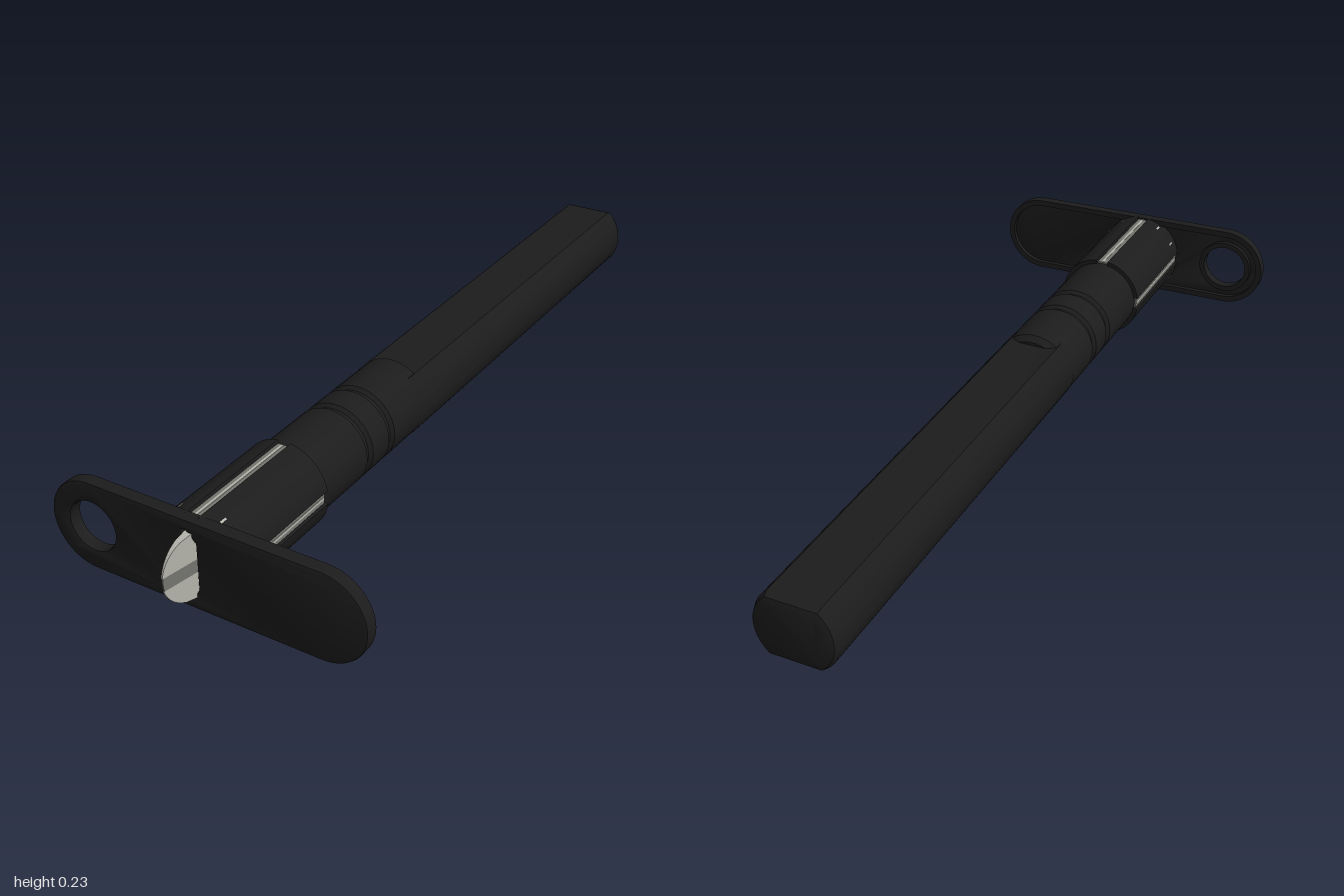
import * as THREE from 'three';
import { toCreasedNormals } from 'three/addons/utils/BufferGeometryUtils.js';

const CX = -0.031, CY = 0.118; // axis of the handle

export function createModel() {
  const model = new THREE.Group();
  model.name = 'plungerTool';
  const mat = (name, color) => {
    const m = new THREE.MeshStandardMaterial({ color });
    m.name = name;
    return m;
  };
  const black = mat('black plastic', 0x1c1c1c);
  const steel = mat('bright steel', 0xb4b4ac);
  const grey = mat('dull steel', 0x74746f);

  const add = (name, geometry, material, parent = model) => {
    const mesh = new THREE.Mesh(geometry, material);
    mesh.name = name;
    parent.add(mesh);
    return mesh;
  };
  const extrude = (shape, depth, bevel = 0) => new THREE.ExtrudeGeometry(shape, {
    depth: depth - 2 * bevel, curveSegments: 32, bevelEnabled: bevel > 0,
    bevelSize: bevel, bevelThickness: bevel, bevelOffset: -bevel, bevelSegments: 2,
  }).translate(0, 0, bevel);

  const handle = new THREE.Group();
  handle.name = 'handle';
  handle.position.set(CX, CY, 0);
  model.add(handle);

  // Rear grip: round bar with flats above and below
  const flat = Math.asin(0.077 / 0.099);
  const gripShape = new THREE.Shape();
  gripShape.absarc(0, 0, 0.099, -flat, flat, false);
  gripShape.absarc(0, 0, 0.099, Math.PI - flat, Math.PI + flat, false);
  gripShape.closePath();
  const grip = toCreasedNormals(extrude(gripShape, 1.18, 0.02), 0.5);
  add('grip', grip.translate(0, 0, -1), black, handle);

  // Round barrel with two grooves
  const profile = [
    [0, 0.12], [0.085, 0.12], [0.098, 0.135], [0.098, 0.285], [0.09, 0.293], [0.09, 0.302],
    [0.098, 0.31], [0.098, 0.378], [0.09, 0.386], [0.09, 0.395], [0.098, 0.403],
    [0.098, 0.9], [0, 0.9],
  ].map(([r, z]) => new THREE.Vector2(r, z));
  const barrel = new THREE.LatheGeometry(profile, 48).rotateX(Math.PI / 2);
  add('barrel', toCreasedNormals(barrel, 0.5), black, handle);

  // Head sleeve in four quarters, with steel showing in the slots
  const gap = 0.15;
  for (let i = 0; i < 4; i++) {
    const a = i * Math.PI / 2;
    const s = new THREE.Shape();
    s.absarc(0, 0, 0.109, a + gap, a + Math.PI / 2 - gap, false);
    s.absarc(0, 0, 0.09, a + Math.PI / 2 - gap, a + gap, true);
    s.closePath();
    const quarter = toCreasedNormals(extrude(s, 0.32), 0.5);
    add('sleeveQuarter', quarter.translate(0, 0, 0.578), black, handle);

    const strip = add('slotStrip', new THREE.BoxGeometry(0.008, 0.026, 0.316), grey, handle);
    strip.position.set(Math.cos(a) * 0.098, Math.sin(a) * 0.098, 0.741);
    strip.rotation.z = a;
    const edge = add('slotEdge', new THREE.BoxGeometry(0.006, 0.006, 0.31), steel, handle);
    edge.position.set(Math.cos(a) * 0.1, Math.sin(a) * 0.1, 0.741);
    edge.rotation.z = a;

    // Small marks near the front of the sleeve
    for (const side of [-1, 1]) {
      const b = a + side * 0.52;
      const mark = add('sleeveMark', new THREE.BoxGeometry(0.004, 0.005, 0.018), steel, handle);
      mark.position.set(Math.cos(b) * 0.108, Math.sin(b) * 0.108, 0.868);
      mark.rotation.z = b;
    }
  }

  // Cross plate: slotted panel with a finger hole and a raised rim at the back
  const plate = new THREE.Group();
  plate.name = 'crossPlate';
  plate.position.set(0, 0.1165, 0);
  plate.rotation.z = -0.021;
  model.add(plate);
  const stadium = (Type, r) => {
    const s = new Type();
    s.absarc(0.284, 0, r, -Math.PI / 2, Math.PI / 2, false);
    s.absarc(-0.284, 0, r, Math.PI / 2, Math.PI * 1.5, false);
    s.closePath();
    return s;
  };
  const circle = (Type, r) => {
    const s = new Type();
    s.absarc(-0.284, 0, r, 0, Math.PI * 2, false);
    return s;
  };
  const panelShape = stadium(THREE.Shape, 0.108);
  const slot = new THREE.Path();
  slot.moveTo(-0.047, -0.084);
  slot.lineTo(-0.047, 0.082);
  slot.lineTo(-0.036, 0.082);
  slot.lineTo(-0.012, 0.058);
  slot.lineTo(-0.012, -0.06);
  slot.lineTo(-0.036, -0.084);
  slot.closePath();
  panelShape.holes.push(circle(THREE.Path, 0.06), slot);
  add('panel', toCreasedNormals(extrude(panelShape, 0.018, 0.005), 0.4).translate(0, 0, 0.901), black, plate);
  const rim = stadium(THREE.Shape, 0.108);
  rim.holes.push(stadium(THREE.Path, 0.092));
  add('backRim', toCreasedNormals(extrude(rim, 0.018), 0.4).translate(0, 0, 0.889), black, plate);
  const ring = circle(THREE.Shape, 0.074);
  ring.holes.push(circle(THREE.Path, 0.06));
  add('holeRing', toCreasedNormals(extrude(ring, 0.018), 0.4).translate(0, 0, 0.889), black, plate);

  // Rounded chisel blade: a band of a half disc, ground to an edge on its left
  const blade = (name, y0, y1, scale, material) => {
    const s = new THREE.Shape();
    s.moveTo(0.895, y0);
    for (let i = 0; i <= 12; i++) {
      const y = y0 + (y1 - y0) * i / 12;
      s.lineTo(0.918 + 0.082 * scale * Math.sqrt(Math.max(0, 1 - (y / 0.079) ** 2)), y);
    }
    s.lineTo(0.895, y1);
    s.closePath();
    const g = extrude(s, 0.024).rotateY(-Math.PI / 2);
    const p = g.attributes.position;
    for (let i = 0; i < p.count; i++) {
      if (p.getX(i) > -0.001) p.setX(i, -0.021 * (p.getZ(i) - 0.895) / 0.105);
    }
    g.computeVertexNormals();
    add(name, g, material).position.set(-0.013, 0.119, 0);
  };
  blade('upperBlade', 0.013, 0.079, 1, steel);
  blade('lowerBlade', -0.079, -0.018, 1, steel);
  blade('bladeCore', -0.018, 0.013, 0.98, grey);

  return model;
}
